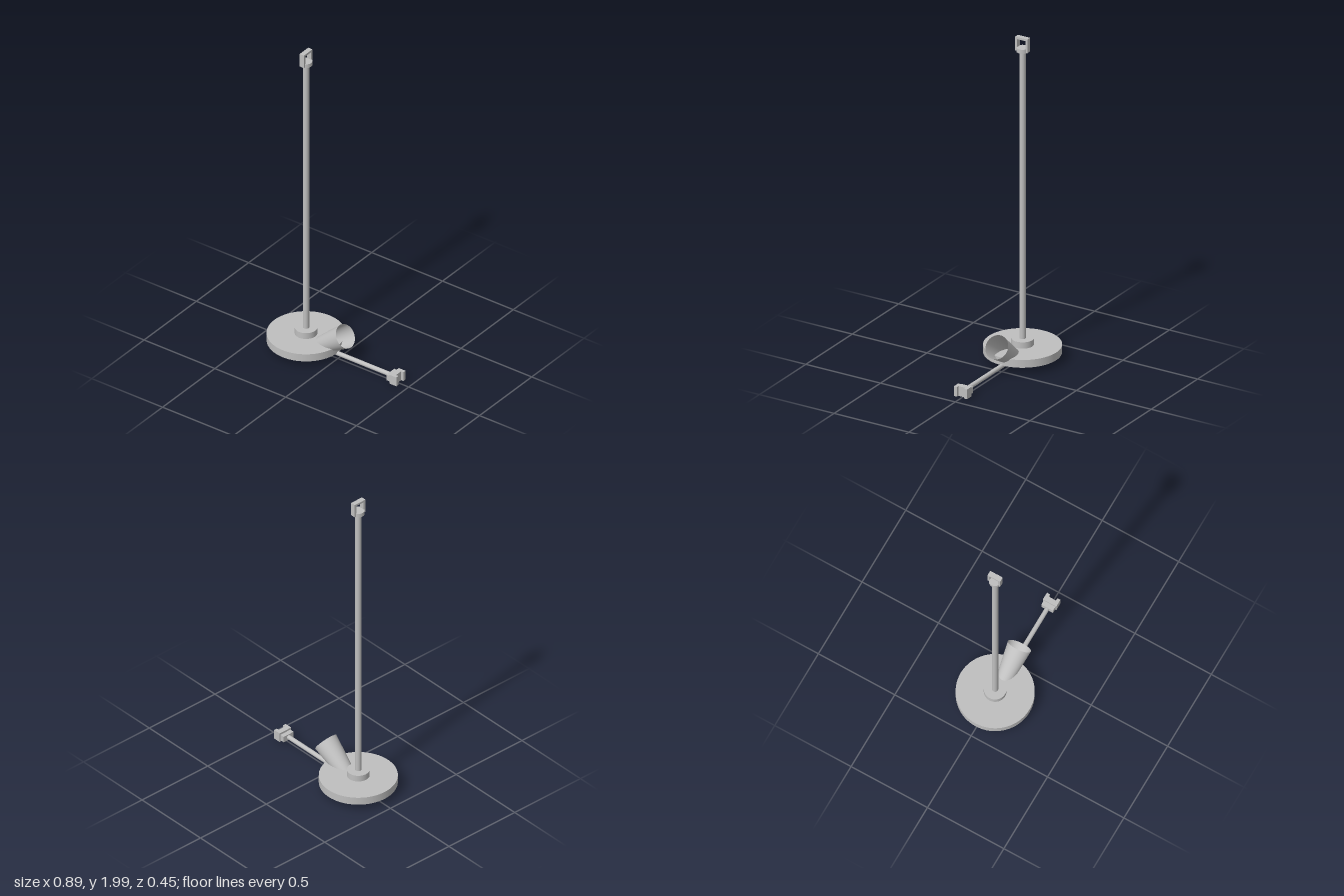
import * as THREE from 'three';

export function createModel() {
  const model = new THREE.Group();
  const grey = new THREE.MeshStandardMaterial({ color: 0xbfbfbf, side: THREE.DoubleSide });
  grey.name = 'grey';

  const add = (name, geometry, x, y, z = 0, rotZ = 0) => {
    const mesh = new THREE.Mesh(geometry, grey);
    mesh.name = name;
    mesh.position.set(x, y, z);
    mesh.rotation.z = rotZ;
    model.add(mesh);
    return mesh;
  };
  // Cylinder standing between two heights
  const post = (name, x, r, y0, y1) =>
    add(name, new THREE.CylinderGeometry(r, r, y1 - y0, 64), x, (y0 + y1) / 2);
  // Cylinder lying along x
  const rod = (name, x0, x1, r, y) =>
    add(name, new THREE.CylinderGeometry(r, r, x1 - x0, 32), (x0 + x1) / 2, y, 0, Math.PI / 2);
  const box = (name, x0, x1, y0, y1, z0, z1) =>
    add(name, new THREE.BoxGeometry(x1 - x0, y1 - y0, z1 - z0), (x0 + x1) / 2, (y0 + y1) / 2, (z0 + z1) / 2);

  // Floor stand
  const px = -0.225;
  post('baseDisc', px, 0.225, 0.045, 0.093);
  post('baseHub', px, 0.065, 0.093, 0.132);
  post('pole', px, 0.0185, 0.13, 1.925);
  post('poleCollar', px, 0.036, 1.912, 1.937);

  // Square loop on top of the pole, opening along x
  const frame = new THREE.Shape([[-0.041, 1.915], [0.041, 1.915], [0.041, 2], [-0.041, 2]]
    .map(([a, b]) => new THREE.Vector2(a, b)));
  frame.holes.push(new THREE.Path([[-0.028, 1.937], [-0.028, 1.987], [0.028, 1.987], [0.028, 1.937]]
    .map(([a, b]) => new THREE.Vector2(a, b))));
  const loop = add('poleLoop', new THREE.ExtrudeGeometry(frame, { depth: 0.03, bevelEnabled: false }), px - 0.015, 0);
  loop.rotation.y = Math.PI / 2;

  // Swing arm with a fork at its outer end
  const ay = 0.041;
  rod('arm', -0.16, 0.375, 0.0135, ay);
  box('armBlock', 0.37, 0.4, 0.022, 0.06, -0.038, 0.038);
  box('forkBack', 0.398, 0.429, 0.012, 0.072, -0.044, 0.044);

  // Small joint at the inner end, under the base
  rod('jointCollar', -0.17, -0.145, 0.021, ay - 0.004);
  for (const s of [-1, 1]) {
    const span = (a, b) => [Math.min(s * a, s * b), Math.max(s * a, s * b)];
    box('forkProng', 0.428, 0.445, 0.012, 0.072, ...span(0.024, 0.044));
    box('jointProng', -0.235, -0.165, 0.026, 0.052, ...span(0.006, 0.016));
  }

  // Tilted flaring shade, open at the mouth
  const profile = [[0, 0], [0.018, 0.002], [0.033, 0.006], [0.042, 0.014], [0.047, 0.03],
    [0.053, 0.08], [0.06, 0.14], [0.072, 0.25]].map(([r, h]) => new THREE.Vector2(r, h));
  const tilt = THREE.MathUtils.degToRad(35.4);
  add('shade', new THREE.LatheGeometry(profile, 64), -0.151, 0.032, 0, tilt - Math.PI / 2);

  return model;
}
